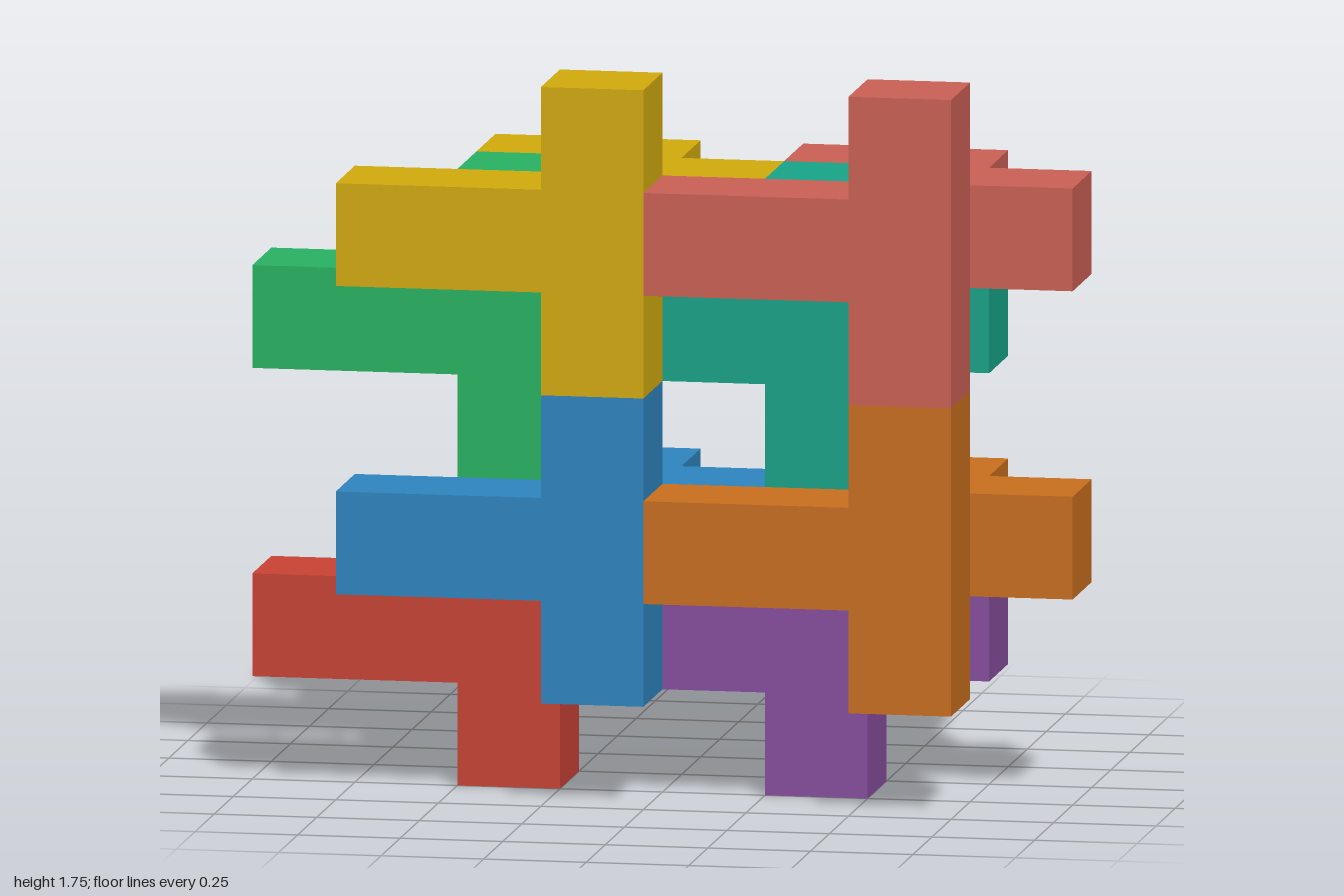
import * as THREE from 'three';
import { mergeGeometries } from 'three/addons/utils/BufferGeometryUtils.js';

const U = 0.25; // edge of one cube cell

// Box covering whole cells: first cell (x, y, z) and its size in cells
function cells(x, y, z, w, h, d) {
  return new THREE.BoxGeometry(w * U, h * U, d * U)
    .translate((x + w / 2) * U, (y + h / 2) * U, (z + d / 2) * U);
}

// One puzzle piece, with the foot of its upright post at the origin cell
function pieceGeometry() {
  return mergeGeometries([
    cells(0, 0, 0, 1, 3, 1),    // upright post
    cells(-2, 1, 0, 2, 1, 1),   // side arm
    cells(0, 1, -1, 2, 1, 1),   // middle step
    cells(-1, 1, -2, 2, 1, 1),  // rear arm
  ]);
}

export function createModel() {
  const model = new THREE.Group();
  model.name = 'interlockingCubePieces';
  const geometry = pieceGeometry();

  // The same piece repeats in every place: name, color, cell of the post's foot
  const pieces = [
    ['lowerRearRightPiece', 0xcb4335, [-2, 0, 0]],
    ['lowerRearLeftPiece', 0x884ea0, [1, 0, 0]],
    ['lowerFrontRightPiece', 0x2e86c1, [-1, 1, 1]],
    ['lowerFrontLeftPiece', 0xca6f1e, [2, 1, 1]],
    ['upperRearRightPiece', 0x28b463, [-2, 3, 0]],
    ['upperRearLeftPiece', 0x17a589, [1, 3, 0]],
    ['upperFrontRightPiece', 0xd4ac0d, [-1, 4, 1]],
    ['upperFrontLeftPiece', 0xcd6155, [2, 4, 1]],
  ];
  for (const [name, color, cell] of pieces) {
    const mesh = new THREE.Mesh(geometry, new THREE.MeshStandardMaterial({ color }));
    mesh.name = name;
    mesh.position.set(...cell).multiplyScalar(U);
    model.add(mesh);
  }
  return model;
}
